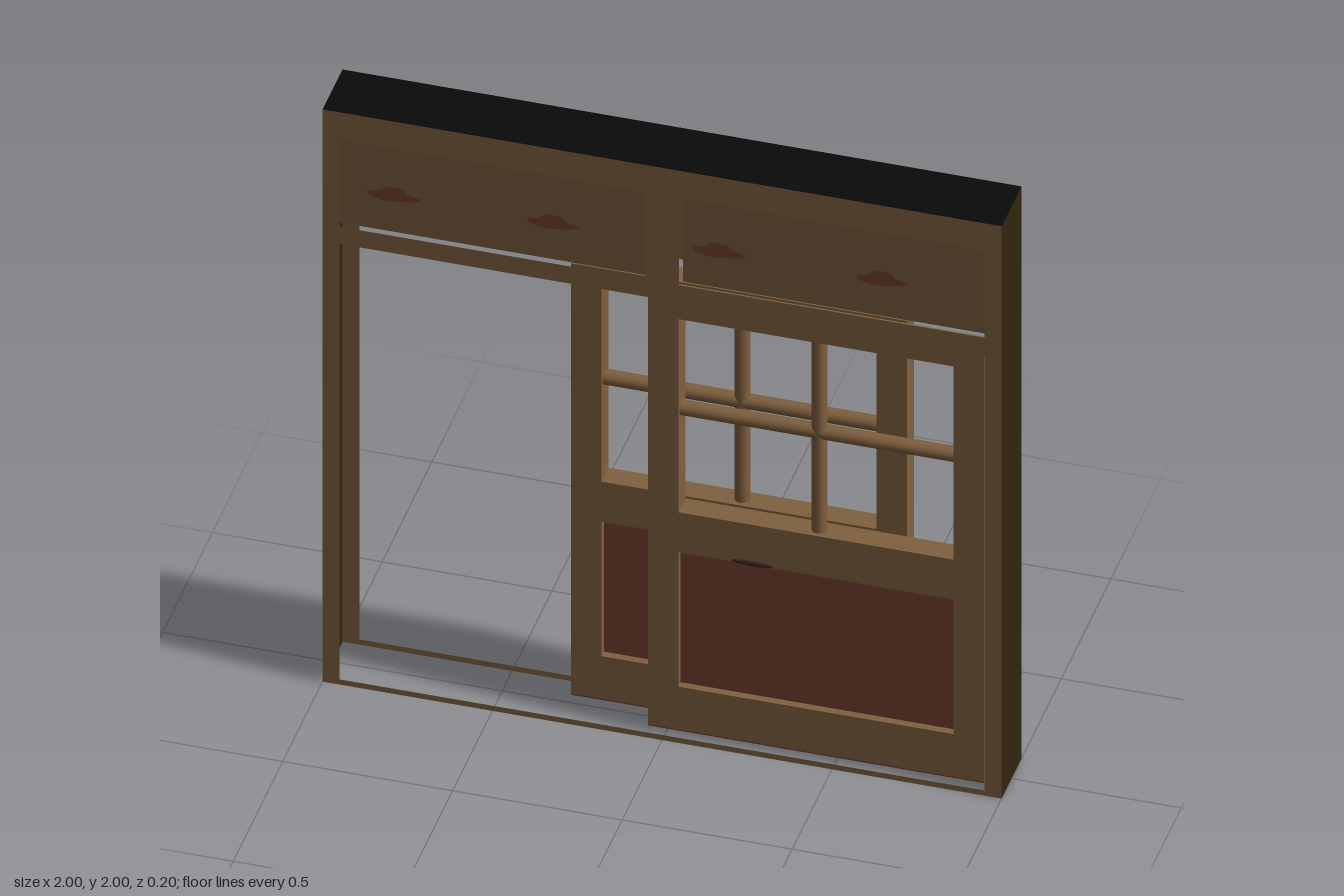
import * as THREE from 'three';

const mat = (name, color) => {
  const m = new THREE.MeshStandardMaterial({ color, side: THREE.DoubleSide });
  m.name = name;
  return m;
};

export function createModel() {
  const wood = mat('brown wood', 0x80603f);
  const panelWood = mat('header panel wood', 0x765a3d);
  const red = mat('red brown panel', 0x723f2f);
  const dark = mat('dark side wood', 0x322510);
  const black = mat('black top', 0x0a0a0a);
  const handleMat = mat('dark handle', 0x38251a);

  const model = new THREE.Group();
  model.name = 'slidingDoor';

  const add = (parent, name, geo, material, x = 0, y = 0, z = 0) => {
    const m = new THREE.Mesh(geo, material);
    m.name = name;
    m.position.set(x, y, z);
    parent.add(m);
    return m;
  };
  const box = (parent, name, material, x0, x1, y0, y1, z0, z1) =>
    add(parent, name, new THREE.BoxGeometry(x1 - x0, y1 - y0, z1 - z0), material,
      (x0 + x1) / 2, (y0 + y1) / 2, (z0 + z1) / 2);

  // rectangle outline, reused for outer shapes and holes
  const rect = (x0, x1, y0, y1, Type = THREE.Path) => new Type().setFromPoints(
    [[x0, y0], [x1, y0], [x1, y1], [x0, y1]].map(p => new THREE.Vector2(...p)));

  // thin facings of the hollow casing, front and back
  const facing = rect(-1, 1, 0, 2, THREE.Shape);
  facing.holes.push(
    rect(-0.95, 0.95, 0.018, 1.54),
    rect(-0.95, -0.05, 1.6, 1.905),
    rect(0.05, 0.95, 1.6, 1.905));
  const facingGeo = new THREE.ShapeGeometry(facing);
  add(model, 'frontFacing', facingGeo, wood, 0, 0, 0.1);
  add(model, 'backFacing', facingGeo, wood, 0, 0, -0.1).rotation.y = Math.PI;

  // outer walls of the casing
  for (const s of [-1, 1]) {
    add(model, s > 0 ? 'leftWall' : 'rightWall', new THREE.PlaneGeometry(0.2, 2), dark, s, 1, 0)
      .rotation.y = s * Math.PI / 2;
  }
  add(model, 'topWall', new THREE.PlaneGeometry(2, 0.2), black, 0, 2, 0).rotation.x = -Math.PI / 2;

  // recessed header panels
  for (const s of [-1, 1]) {
    const [a, b] = s > 0 ? [0.05, 0.98] : [-0.98, -0.05];
    box(model, 'headerPanel', panelWood, a, b, 1.585, 1.92, -0.06, 0.06);
  }

  // painted cloud ornaments on both faces of the header panels
  const cloud = new THREE.Shape();
  cloud.moveTo(-0.08, 0);
  cloud.lineTo(-0.04, 0.008);
  cloud.quadraticCurveTo(-0.03, 0.03, 0, 0.026);
  cloud.quadraticCurveTo(0.03, 0.03, 0.035, 0.008);
  cloud.lineTo(0.08, 0);
  cloud.quadraticCurveTo(0.06, -0.018, 0.02, -0.018);
  cloud.quadraticCurveTo(-0.02, -0.03, -0.05, -0.02);
  cloud.quadraticCurveTo(-0.075, -0.02, -0.08, 0);
  const cloudGeo = new THREE.ShapeGeometry(cloud, 5);
  for (const x of [-0.8, -0.33, 0.16, 0.64]) {
    add(model, 'cloudOrnament', cloudGeo, red, x, 1.715, 0.063);
    add(model, 'cloudOrnament', cloudGeo, red, x, 1.715, -0.063).rotation.y = Math.PI;
  }

  // one door leaf, centred on its own x and z
  const makeDoor = name => {
    const door = new THREE.Group();
    door.name = name;
    const leaf = rect(-0.495, 0.495, 0.026, 1.53, THREE.Shape);
    leaf.holes.push(rect(-0.405, 0.405, 0.175, 0.645), rect(-0.405, 0.405, 0.785, 1.46));
    const leafGeo = new THREE.ExtrudeGeometry(leaf, { depth: 0.07, bevelEnabled: false });
    add(door, 'doorFrame', leafGeo, wood, 0, 0, -0.035);
    box(door, 'lowerPanel', red, -0.41, 0.41, 0.17, 0.65, -0.012, 0.012);
    box(door, 'bottomEdge', red, -0.495, 0.495, 0.022, 0.026, -0.035, 0.035);
    // round glazing bars
    add(door, 'verticalBar', new THREE.CylinderGeometry(0.023, 0.023, 0.69, 16), wood, 0, 1.122, 0);
    add(door, 'horizontalBar', new THREE.CylinderGeometry(0.023, 0.023, 0.82, 16), wood, 0, 1.128, 0)
      .rotation.z = Math.PI / 2;
    // small pull on the middle rail
    add(door, 'handle', new THREE.SphereGeometry(1, 16, 8), handleMat, -0.187, 0.65, 0.034)
      .scale.set(0.065, 0.009, 0.006);
    model.add(door);
    return door;
  };
  makeDoor('frontDoor').position.set(0.445, 0, 0.037);
  const back = makeDoor('backDoor');
  back.position.set(0.195, 0, -0.043);
  back.rotation.y = Math.PI;

  return model;
}
